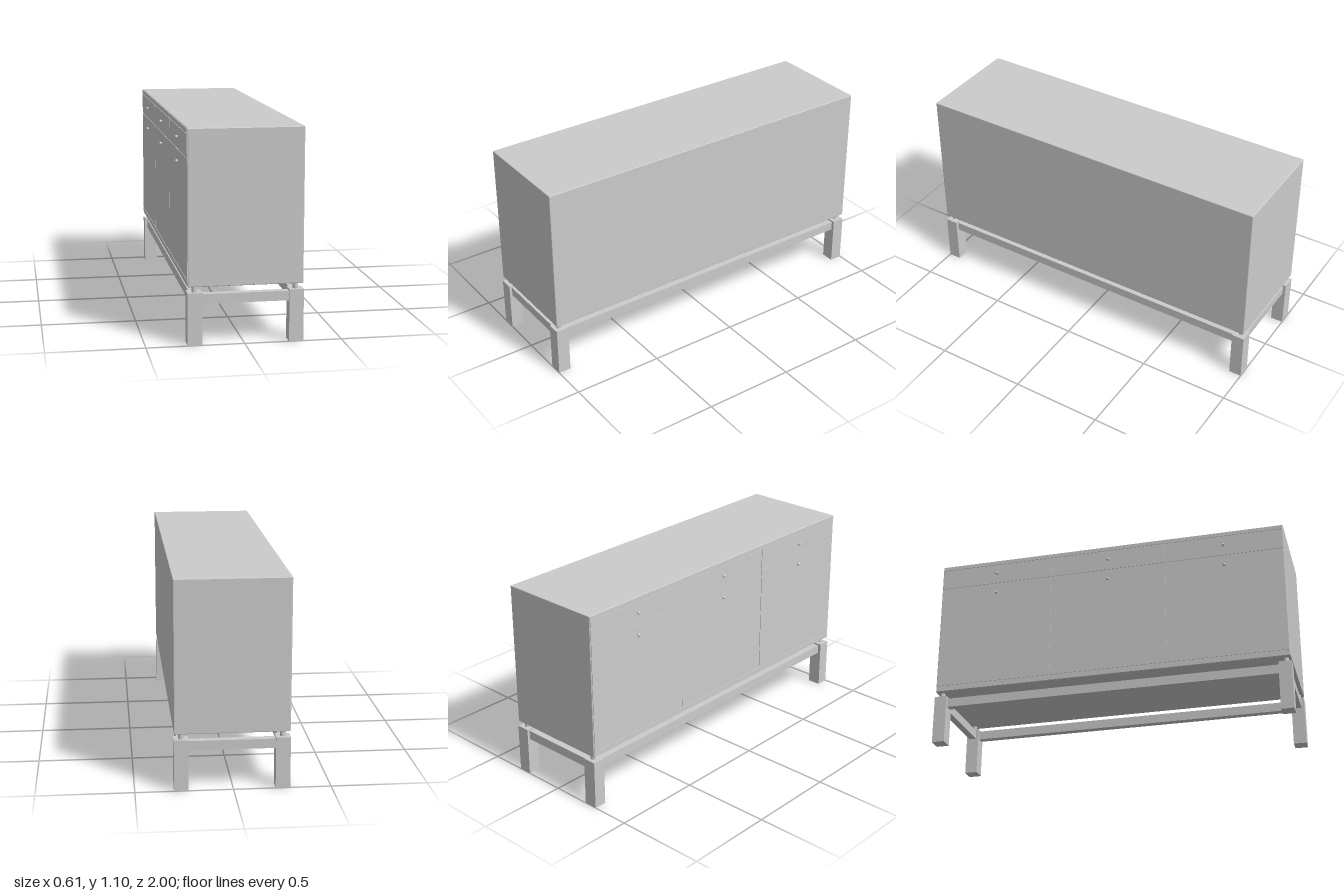
import * as THREE from 'three';
import { RoundedBoxGeometry } from 'three/addons/geometries/RoundedBoxGeometry.js';

const grey = new THREE.MeshStandardMaterial({ color: 0xcccccc });
const flat = new THREE.MeshStandardMaterial({ color: 0xcccccc, flatShading: true });

export function createModel() {
  const group = new THREE.Group();
  const add = (name, geometry, x, y, z, material = grey) => {
    const mesh = new THREE.Mesh(geometry, material);
    mesh.name = name;
    mesh.position.set(x, y, z);
    group.add(mesh);
    return mesh;
  };
  // Box given by its limits on each axis
  const box = (name, [x0, x1], [y0, y1], [z0, z1]) =>
    add(name, new THREE.BoxGeometry(x1 - x0, y1 - y0, z1 - z0),
      (x0 + x1) / 2, (y0 + y1) / 2, (z0 + z1) / 2);

  // Carcass with finely chamfered edges
  add('carcass', new RoundedBoxGeometry(0.587, 0.795, 1.994, 1, 0.004), 0.0065, 0.6975, 0, flat);

  // Thin fronts on the -x face, separated by narrow gaps
  const gap = 0.002, end = 0.994;
  const face = [-0.29, -0.284];
  box('topStrip', face, [1.068 + gap, 1.092], [-end, end]);
  box('bottomStrip', face, [0.303, 0.333 - gap], [-end, end]);
  const knobBall = new THREE.SphereGeometry(0.009, 16, 12);
  const knobStem = new THREE.CylinderGeometry(0.004, 0.004, 0.012, 12).rotateZ(Math.PI / 2);
  const bay = 2 * end / 3;
  for (let i = 0; i < 3; i++) {
    const z0 = -end + i * bay, zs = [z0 + gap, z0 + bay - gap];
    box('drawerFront', face, [0.947 + gap, 1.068 - gap], zs);
    box('door', face, [0.333 + gap, 0.947 - gap], zs);
    for (const y of [1.01, 0.885]) {
      add('knob', knobBall, -0.297, y, z0 + bay / 2);
      add('knobStem', knobStem, -0.291, y, z0 + bay / 2);
    }
  }

  // Legs with short pins that lift the carcass off the frame
  const pin = new THREE.CylinderGeometry(0.014, 0.014, 0.036, 20);
  for (const [x0, x1] of [[-0.29, -0.215], [0.228, 0.302]]) {
    const x = (x0 + x1) / 2;
    for (const s of [-1, 1]) {
      add('leg', new THREE.BoxGeometry(x1 - x0, 0.27, 0.07), x, 0.135, s * 0.965);
      add('pin', pin, x - Math.sign(x) * 0.001, 0.285, s * 0.968);
    }
    box('longRail', [x - 0.02, x + 0.02], [0.21, 0.26], [-0.93, 0.93]);
  }
  for (const s of [-1, 1]) {
    box('endRail', [-0.215, 0.228], [0.21, 0.26], [s * 0.965 - 0.02, s * 0.965 + 0.02]);
  }
  return group;
}
